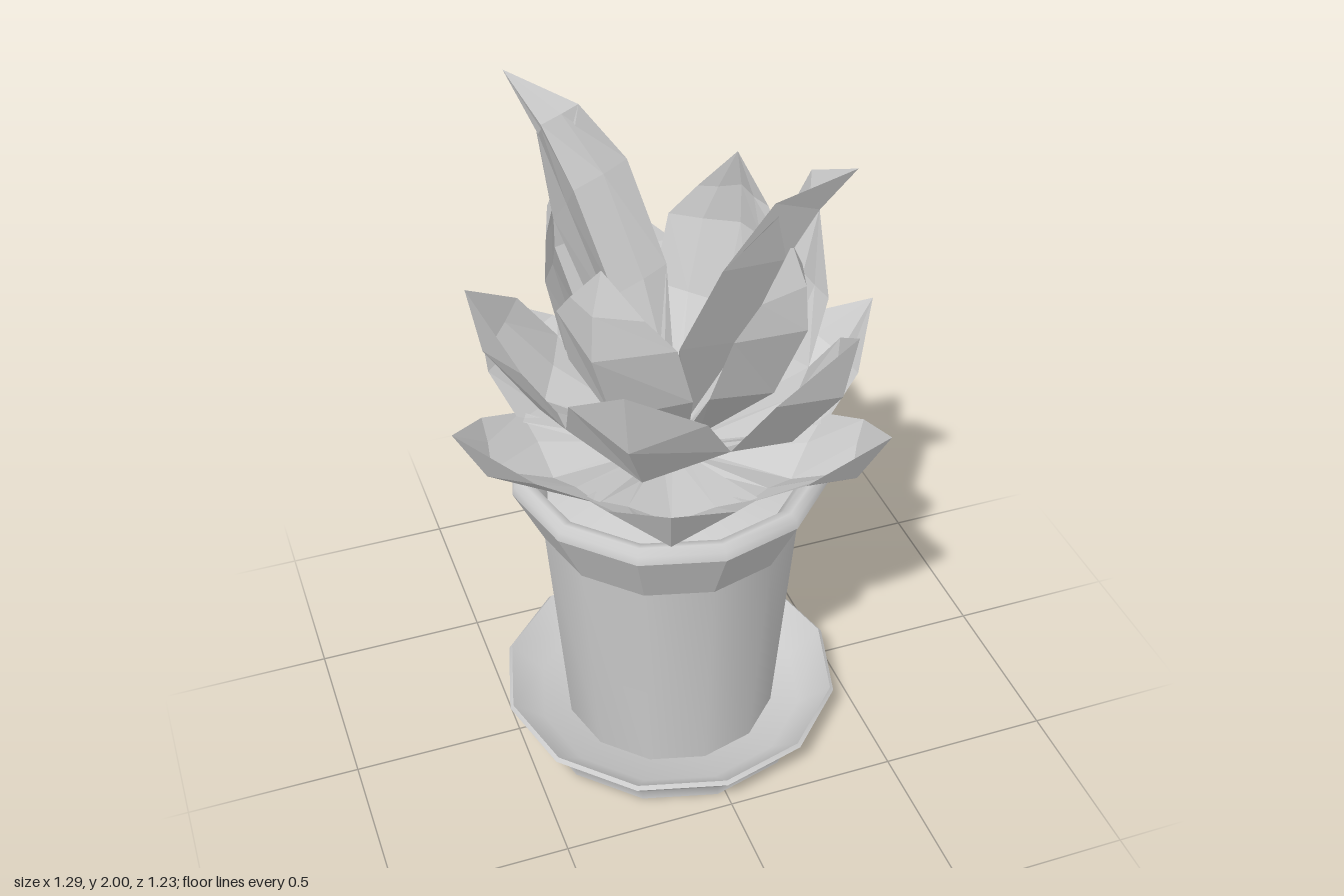
import * as THREE from 'three';
import { toCreasedNormals } from 'three/addons/utils/BufferGeometryUtils.js';

const flat = new THREE.MeshStandardMaterial({ color: 0xcccccc, flatShading: true, side: THREE.DoubleSide });
const smooth = new THREE.MeshStandardMaterial({ color: 0xcccccc });

// Turned part with twelve sides; edges sharper than the crease angle stay hard
function turned(name, profile, crease, material = smooth) {
  const geo = new THREE.LatheGeometry(profile.map(([r, y]) => new THREE.Vector2(r, y)), 12);
  const mesh = new THREE.Mesh(toCreasedNormals(geo, crease), material);
  mesh.name = name;
  mesh.position.set(-0.025, 0, 0.025);
  return mesh;
}

// Keeled leaf pointing along +x. Each row: [radius, height, half width, cup depth, thickness]
function leafGeometry(rows) {
  const rings = rows.map(([r, y, w, c, t], i) => {
    const a = rows[Math.max(i - 1, 0)], b = rows[Math.min(i + 1, rows.length - 1)];
    const len = Math.hypot(b[0] - a[0], b[1] - a[1]);
    const nr = -(b[1] - a[1]) / len, ny = (b[0] - a[0]) / len;
    const section = [
      [-w, c], [0, 0], [w, c],
      [w * 0.5, c * 0.45 + t], [0, t], [-w * 0.5, c * 0.45 + t],
    ];
    return section.map(([u, d]) => [r + nr * d, y + ny * d, u]);
  });
  const pos = [];
  for (let j = 0; j < rings.length - 1; j++) {
    for (let k = 0; k < 6; k++) {
      const n = (k + 1) % 6;
      const a = rings[j][k], b = rings[j][n], c = rings[j + 1][n], d = rings[j + 1][k];
      pos.push(...a, ...d, ...c, ...a, ...c, ...b);
    }
  }
  const geo = new THREE.BufferGeometry();
  geo.setAttribute('position', new THREE.Float32BufferAttribute(pos, 3));
  geo.computeVertexNormals();
  return geo;
}

// Whorls of leaves from the lowest to the tallest
const whorls = [
  { name: 'lowerLeaf', count: 6, start: -10, rows: [
    [0.05, 0.95, 0.06, 0.01, 0.03], [0.38, 0.975, 0.23, 0.1, 0.03],
    [0.565, 1.085, 0.165, 0.09, 0.02], [0.655, 1.255, 0, 0, 0]] },
  { name: 'middleLeaf', count: 5, start: -22, rows: [
    [0.05, 0.97, 0.06, 0.01, 0.03], [0.37, 1.13, 0.22, 0.11, 0.03],
    [0.51, 1.33, 0.18, 0.11, 0.02], [0.545, 1.525, 0, 0, 0]] },
  { name: 'upperLeaf', count: 4, start: 50, rows: [
    [0.04, 1.0, 0.06, 0.01, 0.03], [0.31, 1.27, 0.19, 0.11, 0.03],
    [0.4, 1.5, 0.18, 0.12, 0.03], [0.39, 1.63, 0.11, 0.07, 0.02], [0.345, 1.74, 0, 0, 0]] },
  { name: 'tallLeaf', count: 2, start: 50, rows: [
    [0.03, 1.05, 0.06, 0.01, 0.03], [0.21, 1.4, 0.17, 0.1, 0.03],
    [0.33, 1.69, 0.18, 0.09, 0.03], [0.415, 1.86, 0.095, 0.085, 0.02], [0.51, 2.0, 0, 0, 0]] },
];

export function createModel() {
  const model = new THREE.Group();
  model.name = 'pottedSucculent';

  model.add(turned('saucer', [
    [0, 0], [0.425, 0], [0.425, 0.03], [0.505, 0.12], [0.495, 0.13], [0.4, 0.05], [0, 0.05]], 0.9));
  model.add(turned('potBody', [[0, 0.05], [0.315, 0.05], [0.37, 0.75]], 0.56));
  model.add(turned('potFlare', [[0.37, 0.75], [0.455, 0.93]], 0.1, flat));
  model.add(turned('potRim', [
    [0.455, 0.93], [0.45, 0.955], [0.43, 0.97], [0.405, 0.965], [0.36, 0.89], [0.35, 0.86]], 0.9));
  model.add(turned('soil', [[0.36, 0.88], [0.2, 0.92], [0, 0.95]], 0.56));

  const plant = new THREE.Group();
  plant.name = 'plant';
  plant.position.set(-0.01, 0, 0.015);
  for (const { name, count, start, rows } of whorls) {
    const geo = leafGeometry(rows);
    for (let i = 0; i < count; i++) {
      const leaf = new THREE.Mesh(geo, flat);
      leaf.name = name;
      leaf.rotation.y = -THREE.MathUtils.degToRad(start + (i * 360) / count);
      plant.add(leaf);
    }
  }
  model.add(plant);
  return model;
}
